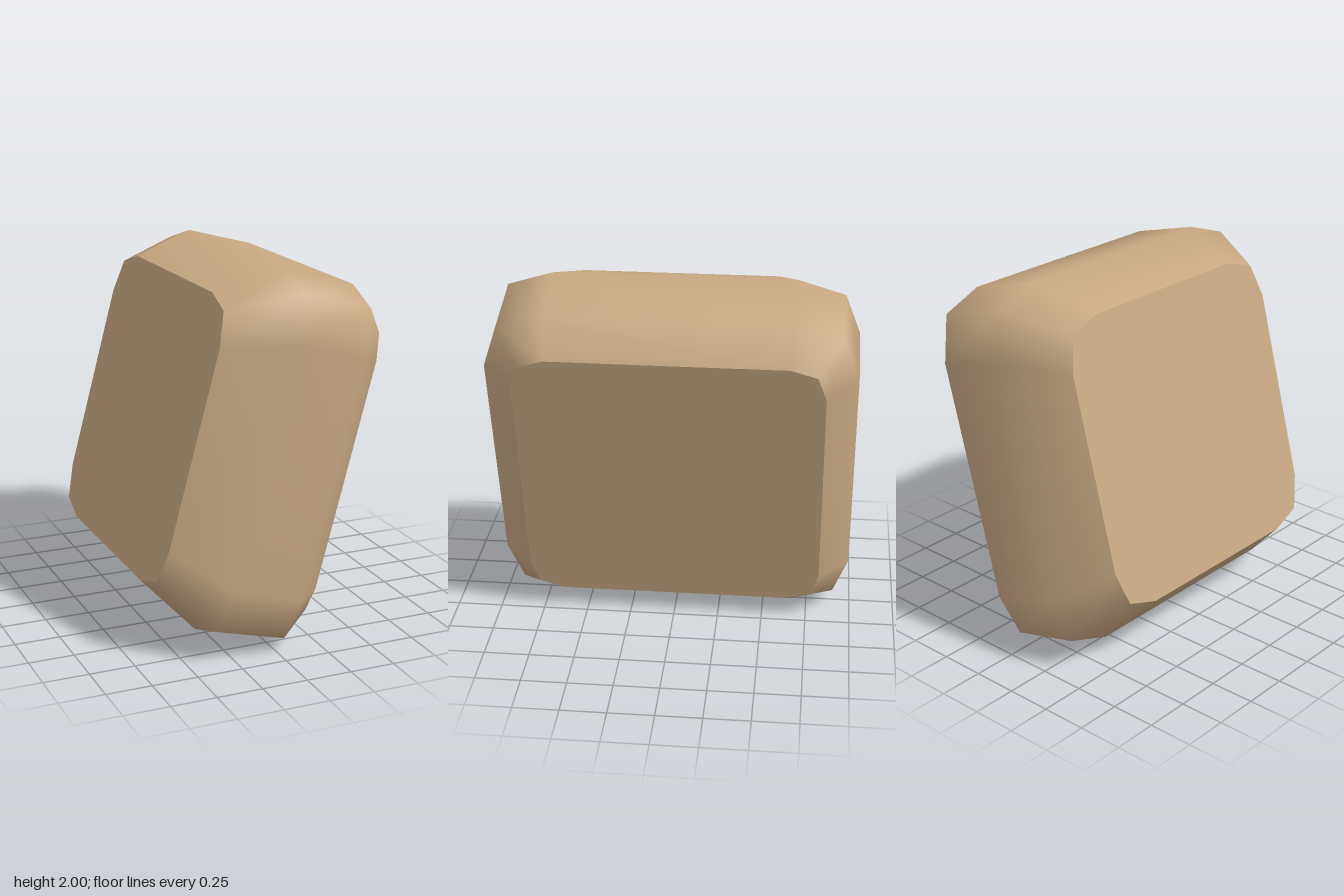
import * as THREE from 'three';

// Cross-sections through the slab: x position, half size, where the straight edge ends, corner point
const SECTIONS = [
  { x: -0.45, half: 0.785, flat: 0.54, corner: 0.725 },
  { x: -0.13, half: 0.983, flat: 0.655, corner: 0.9 },
  { x: 0.27, half: 0.983, flat: 0.655, corner: 0.9 },
  { x: 0.43, half: 0.818, flat: 0.633, corner: 0.772 },
];
const SIDES = 12;

// Square outline with three points per corner, counter-clockwise seen from +x
function outline({ x, half, flat, corner }) {
  const points = [];
  for (let q = 0; q < 4; q++) {
    for (const [y, z] of [[half, flat], [corner, corner], [flat, half]]) {
      const p = new THREE.Vector3(x, y, z);
      p.applyAxisAngle(new THREE.Vector3(1, 0, 0), q * Math.PI / 2);
      points.push(p);
    }
  }
  return points;
}

function build(points, index) {
  const geometry = new THREE.BufferGeometry().setFromPoints(points);
  geometry.setIndex(index);
  geometry.computeVertexNormals();
  return geometry;
}

// Smooth rounded rim through all the sections
function rimGeometry() {
  const index = [];
  for (let i = 0; i < SECTIONS.length - 1; i++) {
    for (let k = 0; k < SIDES; k++) {
      const a = i * SIDES + k;
      const b = i * SIDES + (k + 1) % SIDES;
      index.push(a, b, a + SIDES, b, b + SIDES, a + SIDES);
    }
  }
  return build(SECTIONS.flatMap(outline), index);
}

// Flat face closing one end
function faceGeometry(section, facesRight) {
  const index = [];
  for (let k = 1; k < SIDES - 1; k++) {
    index.push(0, ...(facesRight ? [k, k + 1] : [k + 1, k]));
  }
  return build(outline(section), index);
}

export function createModel() {
  const tan = new THREE.MeshStandardMaterial({ color: 0xc8a882 });
  tan.name = 'tan';

  const slab = new THREE.Group();
  slab.name = 'slab';
  const add = (name, geometry) => {
    const mesh = new THREE.Mesh(geometry, tan);
    mesh.name = name;
    mesh.position.y = 0.02;
    slab.add(mesh);
  };
  add('roundedRim', rimGeometry());
  add('rightFlatFace', faceGeometry(SECTIONS[0], false));
  add('leftFlatFace', faceGeometry(SECTIONS[3], true));

  // Lean the slab over to its left
  slab.rotation.z = -Math.PI / 12;
  slab.position.y = 1;

  const model = new THREE.Group();
  model.name = 'leaningBlock';
  model.add(slab);
  return model;
}
